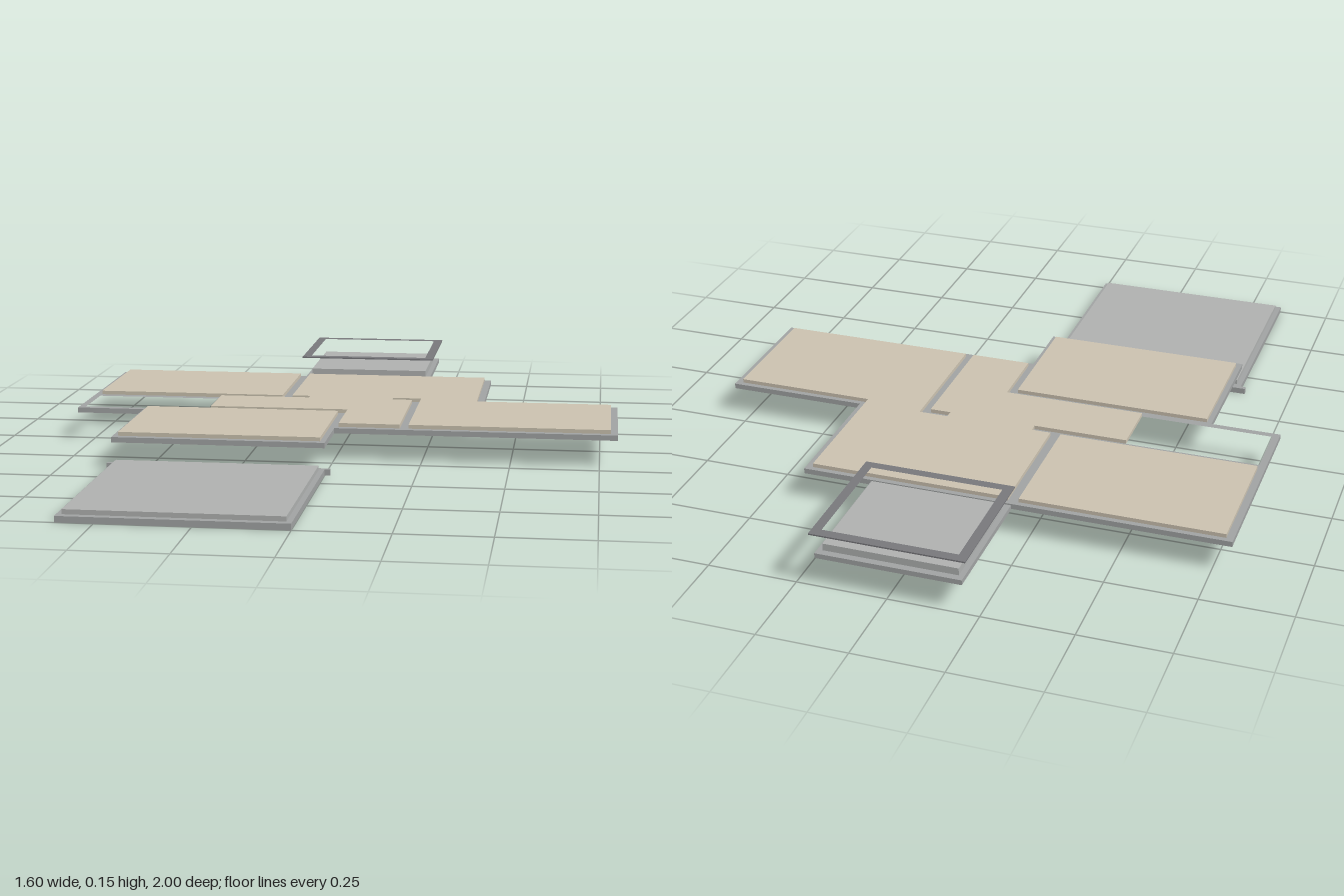
import * as THREE from 'three';

const material = (name, color) => {
  const m = new THREE.MeshStandardMaterial({ color });
  m.name = name;
  return m;
};

// Corner points of a rectangle in plan (x, z)
const rect = (x0, z0, x1, z1) => [[x0, z0], [x1, z0], [x1, z1], [x0, z1]];

export function createModel() {
  const group = new THREE.Group();
  const edgeGrey = material('edge grey', 0xa0a2a2);
  const paleGrey = material('pale grey', 0xaeb0af);
  const beige = material('beige', 0xcac1af);
  const darkGrey = material('dark grey', 0x77777b);

  // Flat slab from a plan outline, standing between heights y0 and y1
  const slab = (name, outline, y0, y1, mat, hole) => {
    const points = pts => pts.map(([x, z]) => new THREE.Vector2(x, -z));
    const shape = new THREE.Shape(points(outline));
    if (hole) shape.holes.push(new THREE.Path(points(hole)));
    const geo = new THREE.ExtrudeGeometry(shape, { depth: y1 - y0, bevelEnabled: false });
    geo.rotateX(-Math.PI / 2);
    const mesh = new THREE.Mesh(geo, mat);
    mesh.name = name;
    mesh.position.y = y0;
    group.add(mesh);
  };

  // Lower terrace with its threshold strip
  slab('terraceBase', rect(-0.6, 0.4, 0, 1), 0, 0.017, edgeGrey);
  slab('terraceThreshold', rect(-0.615, 0.39, 0.015, 0.403), 0, 0.017, edgeGrey);
  slab('terraceFloor', rect(-0.585, 0.415, -0.015, 0.98), 0.017, 0.03, paleGrey);

  // Main storey plate with an open shaft
  slab('storeyBase', [
    [-0.8, -0.6], [0.4, -0.6], [0.4, -0.2], [0.8, -0.2], [0.8, 0.205], [0, 0.205],
    [0, 0.405], [-0.6, 0.405], [-0.6, 0.005], [-0.8, 0.005],
  ], 0.077, 0.092, edgeGrey, rect(-0.78, -0.185, -0.4, -0.015));

  // Raised room floors, with grooves left where the walls stand
  slab('backRoomFloor', rect(-0.78, -0.585, -0.215, -0.21), 0.092, 0.103, beige);
  slab('frontRoomFloor', rect(-0.585, 0.01, -0.015, 0.385), 0.092, 0.103, beige);
  slab('hallFloor', [
    [-0.185, -0.585], [0.38, -0.585], [0.38, -0.185], [0.78, -0.185], [0.78, 0.185],
    [0.21, 0.185], [0.21, -0.21], [0.125, -0.21], [0.125, -0.185], [0.185, -0.185],
    [0.185, 0.185], [0.01, 0.185], [0.01, -0.015], [-0.4, -0.015], [-0.4, -0.185],
    [-0.13, -0.185], [-0.13, -0.21], [-0.185, -0.21],
  ], 0.092, 0.103, beige);

  // Rear platform with a hovering rim
  slab('platformBase', rect(-0.2, -0.99, 0.2, -0.605), 0.077, 0.091, edgeGrey);
  slab('platformFloor', rect(-0.185, -0.97, 0.185, -0.635), 0.091, 0.111, paleGrey);
  slab('platformRim', rect(-0.213, -1, 0.21, -0.61), 0.15, 0.154, darkGrey,
    rect(-0.187, -0.972, 0.184, -0.637));

  return group;
}
